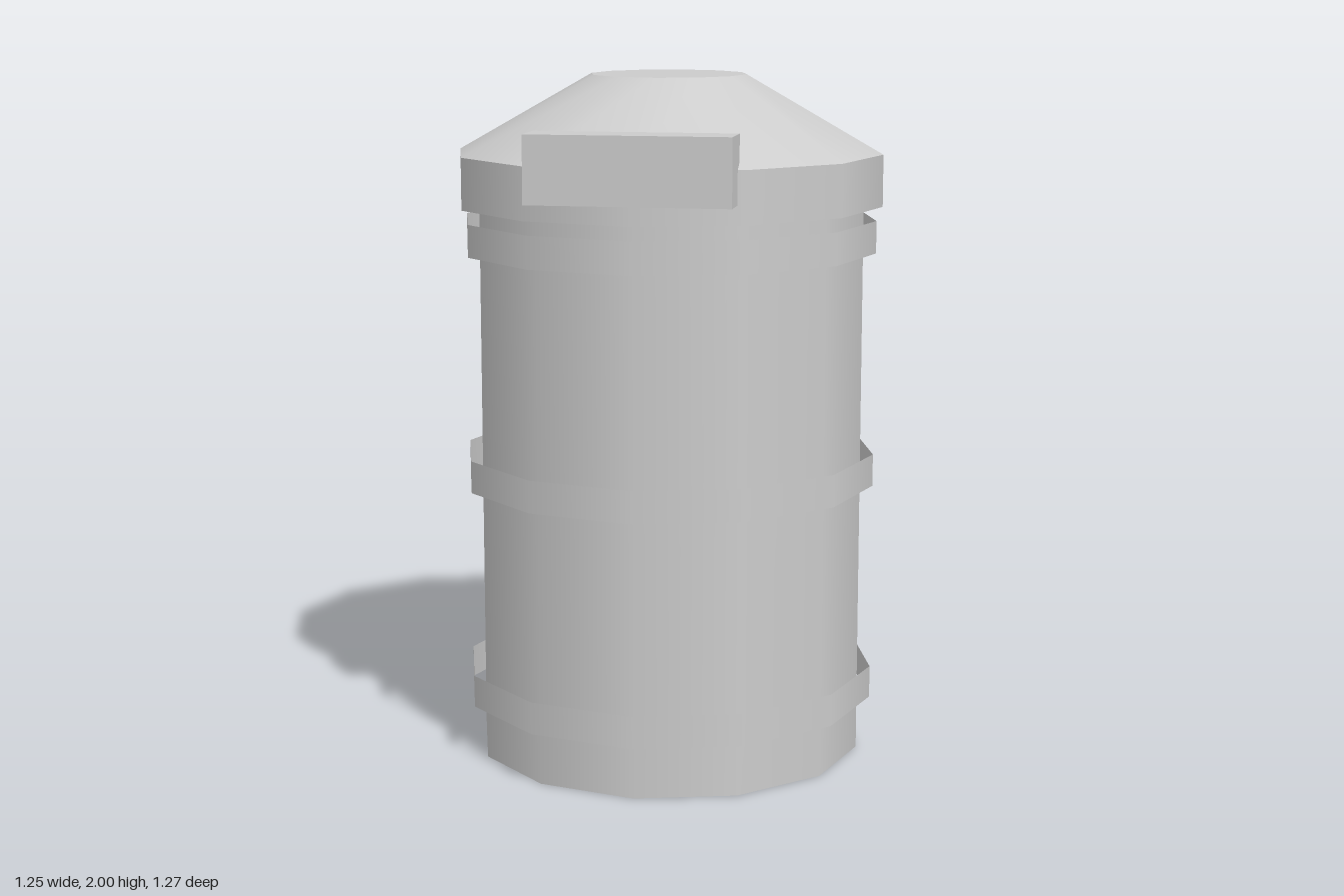
import * as THREE from 'three';

const SIDES = 12;
const CENTRE_Z = -0.01;

export function createModel() {
  const model = new THREE.Group();
  model.name = 'barrelBin';
  const grey = new THREE.MeshStandardMaterial({ color: 0xcccccc, side: THREE.DoubleSide });
  grey.name = 'plain grey';

  const add = (name, geometry, y, z = CENTRE_Z) => {
    const mesh = new THREE.Mesh(geometry, grey);
    mesh.name = name;
    mesh.position.set(0, y, z);
    model.add(mesh);
    return mesh;
  };

  // open, smooth-shaded ring of wall between two heights
  const wall = (name, topRadius, bottomRadius, y0, y1) =>
    add(name, new THREE.CylinderGeometry(topRadius, bottomRadius, y1 - y0, SIDES, 1, true), (y0 + y1) / 2);

  // flat twelve-sided disc, facing up or down
  const disc = (name, radius, y, up) => {
    const mesh = add(name, new THREE.CircleGeometry(radius, SIDES), y);
    mesh.rotation.x = up ? -Math.PI / 2 : Math.PI / 2;
  };

  // hollow body, open at the bottom
  wall('body', 0.57, 0.57, 0, 1.625);

  // thin hoops standing clear of the body
  for (const [name, y] of [['lowerHoop', 0.205], ['middleHoop', 0.85], ['upperHoop', 1.537]]) {
    wall(name, 0.608, 0.608, y - 0.047, y + 0.047);
  }

  // lid: upright rim, sloping roof, flat top and underside
  wall('lidRim', 0.625, 0.625, 1.625, 1.775);
  wall('lidSlope', 0.228, 0.625, 1.775, 2);
  disc('lidTop', 0.228, 2, true);
  disc('lidUnderside', 0.625, 1.625, false);

  // block handle on the front of the lid
  add('handle', new THREE.BoxGeometry(0.57, 0.19, 0.13), 1.775, 0.57);

  return model;
}
